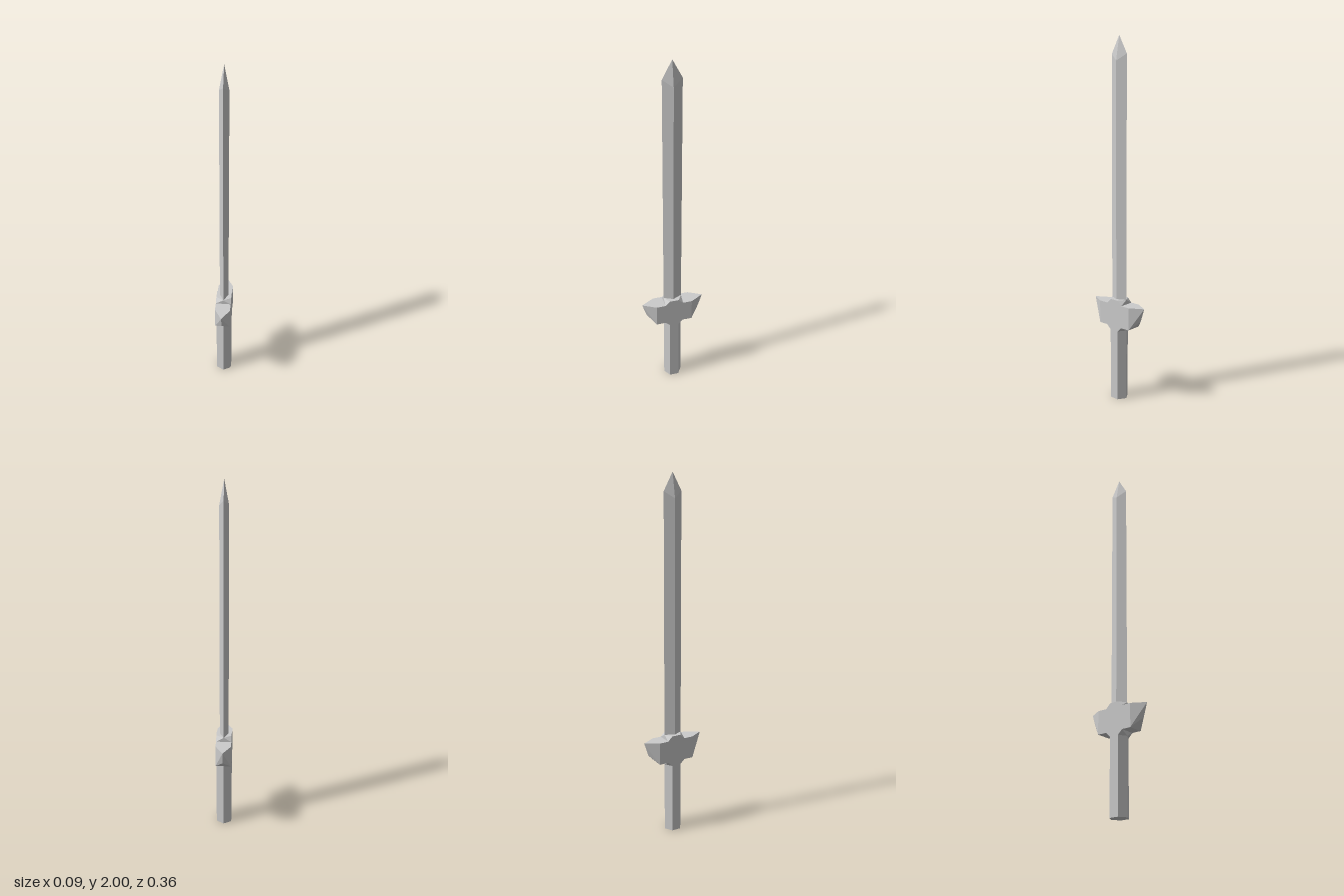
import * as THREE from 'three';
import { ConvexGeometry } from 'three/addons/geometries/ConvexGeometry.js';

const W = 0.043; // half width of grip and guard
const R = 0.052; // half depth of grip and blade
const GUARD = { bottom: 0.405, armBottom: 0.43, armTop: 0.557, top: 0.583 };

const material = new THREE.MeshStandardMaterial({ color: 0xcccccc, flatShading: true });

// Faceted solid around a few corner points
function solid(name, points) {
  const corners = points.map(p => new THREE.Vector3(...p));
  const mesh = new THREE.Mesh(new ConvexGeometry(corners), material);
  mesh.name = name;
  return mesh;
}

// Cross-sections at height y
const hexagon = y => [
  [0, y, R], [W, y, R / 2], [W, y, -R / 2],
  [0, y, -R], [-W, y, -R / 2], [-W, y, R / 2],
];
const rectangle = y => [[W, y, R], [W, y, -R], [-W, y, -R], [-W, y, R]];

export function createModel() {
  const sword = new THREE.Group();
  sword.name = 'sword';

  // Six-sided grip
  sword.add(solid('grip', [...hexagon(0), ...hexagon(GUARD.bottom)]));

  // Guard block, chamfered into the hexagon above and below
  sword.add(solid('guardCore', [
    ...hexagon(GUARD.bottom), ...rectangle(GUARD.armBottom),
    ...rectangle(GUARD.armTop), ...hexagon(GUARD.top),
  ]));

  // Guard arms, pointed at the outer end and cut away underneath
  for (const s of [1, -1]) {
    const points = [[0, GUARD.armTop, s * 0.18], [0, 0.48, s * 0.155]];
    for (const x of [W, -W]) {
      for (const y of [GUARD.armBottom, GUARD.armTop]) {
        points.push([x, y, s * R], [x, y, s * 0.105]);
      }
    }
    sword.add(solid(s > 0 ? 'frontGuardArm' : 'backGuardArm', points));
  }

  // Diamond-section blade with a four-sided tip
  const blade = [[0, 2, 0]];
  for (const s of [1, -1]) {
    blade.push([s * 0.025, GUARD.top, 0], [0, GUARD.top, s * R]);
    blade.push([s * 0.025, 1.87, 0], [0, 1.905, s * R]);
  }
  sword.add(solid('blade', blade));

  return sword;
}
